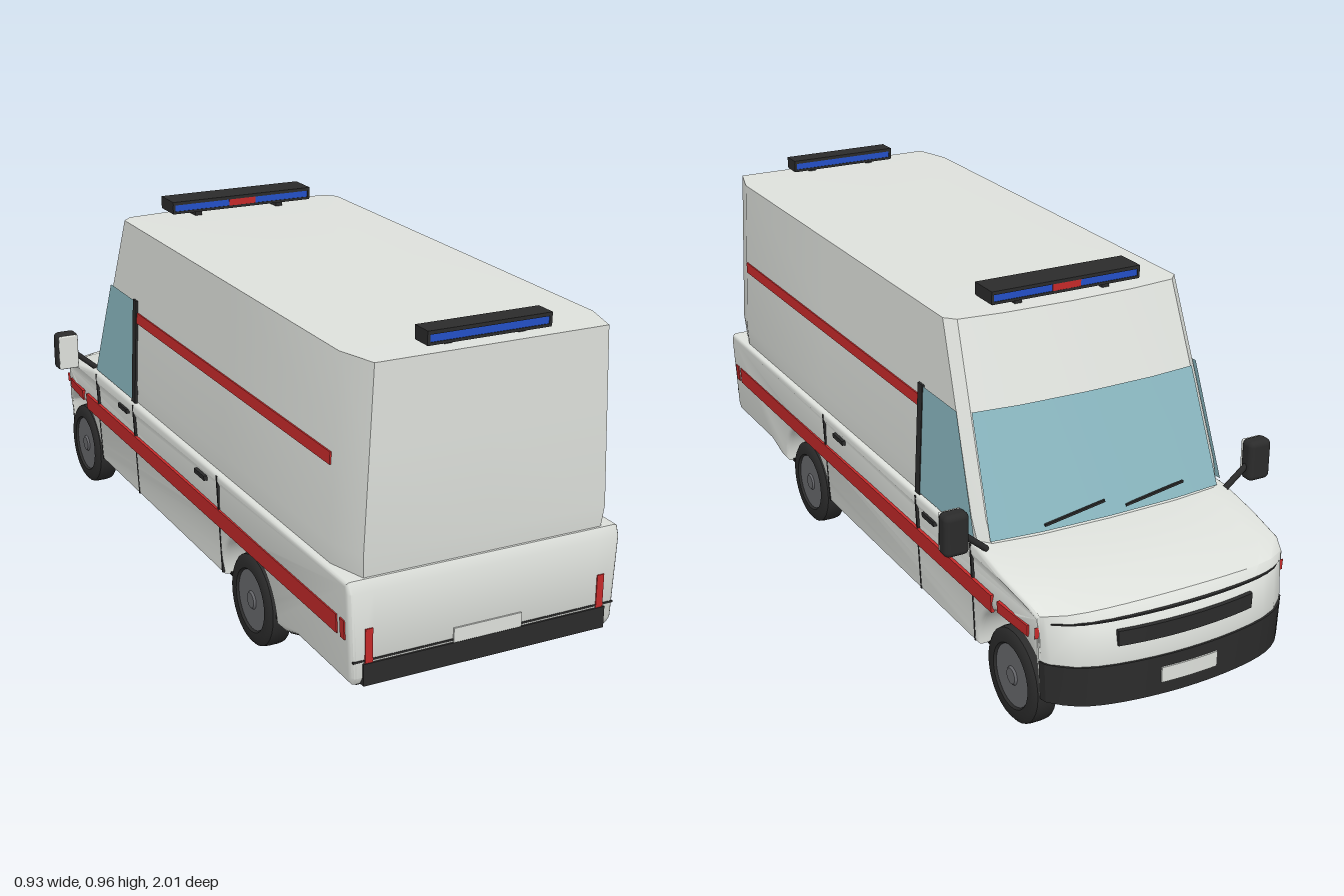
import * as THREE from 'three';
import { toCreasedNormals } from 'three/addons/utils/BufferGeometryUtils.js';
import { RoundedBoxGeometry } from 'three/addons/geometries/RoundedBoxGeometry.js';

const mat = (name, color, side = THREE.FrontSide) => {
  const m = new THREE.MeshStandardMaterial({ color, side });
  m.name = name;
  return m;
};
const clamp01 = (v) => Math.min(1, Math.max(0, v));

// Cabin and box section: half-width and windscreen rake by height
const halfWidth = (y) => 0.353 - (y - 0.4) * 0.045;
const frontZ = (y) => -0.64 + (y - 0.41) * 0.405;
const halfRing = (y, inset = 0) => {
  const w = halfWidth(y) - inset, f = frontZ(y), r = 0.985 - inset;
  return [[0, f], [w * 0.55, f + 0.005], [w - 0.025, f + 0.018], [w, f + 0.045],
    [w, -0.2], [w, 0.3], [w, 0.88], [w - 0.03, r], [0, r]].map(([x, z]) => [x, y, z]);
};
const flip = (pts) => pts.map(([x, y, z]) => [-x, y, z]).reverse();

// Skin between rows of points with equal counts
function loft(rows) {
  const pos = [], idx = [], n = rows[0].length;
  rows.forEach((row) => row.forEach((p) => pos.push(...p)));
  for (let r = 0; r < rows.length - 1; r++) {
    for (let i = 0; i < n - 1; i++) {
      const a = r * n + i, b = a + 1, d = a + n, c = d + 1;
      idx.push(a, d, c, a, c, b);
    }
  }
  const g = new THREE.BufferGeometry();
  g.setAttribute('position', new THREE.Float32BufferAttribute(pos, 3));
  g.setIndex(idx);
  return toCreasedNormals(g, 0.4);
}

// Lower body rule: flanks lean in downwards, nose narrows and bows, bonnet is crowned
function warp(g) {
  const p = g.attributes.position;
  for (let i = 0; i < p.count; i++) {
    let x = p.getX(i), y = p.getY(i), z = p.getZ(i);
    const u = Math.min(1, Math.abs(x) / 0.362);
    const bow = 0.055 * u ** 2 + 0.045 * u ** 8;
    x *= (1 - 0.14 * (0.405 - y)) * (1 - 0.055 * clamp01((-z - 0.76) / 0.24));
    y -= 0.025 * u * u * clamp01((-z - 0.62) / 0.2) * clamp01((y - 0.3) / 0.1);
    z += bow * clamp01((-z - 0.88) / 0.1);
    p.setXYZ(i, x, y, z);
  }
  return g;
}

// Side profile (nose at positive shape x) extruded across the width
function across(shape, width, bevel, steps) {
  const g = new THREE.ExtrudeGeometry(shape, {
    depth: width - 2 * bevel, steps, curveSegments: 20, bevelEnabled: bevel > 0,
    bevelSize: bevel, bevelThickness: bevel, bevelOffset: -bevel, bevelSegments: 3,
  });
  g.translate(0, 0, -width / 2 + bevel);
  g.rotateY(Math.PI / 2);
  return toCreasedNormals(warp(g), 0.6);
}

export function createModel() {
  const white = mat('body white', 0xdee1dc);
  const black = mat('trim black', 0x2b2b2b);
  const under = mat('underside black', 0x171717);
  const red = mat('stripe red', 0xc62a2a);
  const blue = mat('beacon blue', 0x2450c8);
  const glass = mat('glass', 0x8ab7c0, THREE.DoubleSide);
  const grey = mat('hub grey', 0x67686c);

  const van = new THREE.Group();
  van.name = 'ambulance';
  const add = (name, geo, m, parent = van) => {
    const mesh = new THREE.Mesh(geo, m);
    mesh.name = name;
    parent.add(mesh);
    return mesh;
  };
  // Box given by its limits, optionally following the lower body
  const block = (name, m, [x0, x1], [y0, y1], [z0, z1], follow = false, seg = 1) => {
    const g = new THREE.BoxGeometry(x1 - x0, y1 - y0, z1 - z0, seg, 1, 1);
    g.translate((x0 + x1) / 2, (y0 + y1) / 2, (z0 + z1) / 2);
    return add(name, follow ? toCreasedNormals(warp(g), 0.5) : g, m);
  };

  // Lower body with wheel arches
  const s = new THREE.Shape();
  s.moveTo(-0.985, 0.15);
  s.lineTo(-0.72, 0.15);
  s.lineTo(-0.65, 0.128);
  s.lineTo(-0.6, 0.125);
  s.absarc(-0.445, 0.125, 0.155, Math.PI, 0, true);
  s.lineTo(0.605, 0.125);
  s.absarc(0.76, 0.125, 0.155, Math.PI, 0, true);
  [[0.97, 0.12], [0.988, 0.15], [0.996, 0.24], [0.985, 0.315], [0.95, 0.357], [0.85, 0.384],
    [0.74, 0.398], [0.62, 0.406], [-0.985, 0.406], [-0.997, 0.38], [-0.997, 0.17]].forEach(([x, y]) => s.lineTo(x, y));
  s.closePath();
  add('lowerBody', across(s, 0.726, 0.012, 14), white);

  // Floor pan
  const f = new THREE.Shape([[-0.98, 0.145], [-0.72, 0.145], [-0.65, 0.12], [0.965, 0.118],
    [0.965, 0.126], [-0.65, 0.13], [-0.72, 0.155], [-0.98, 0.155]].map((p) => new THREE.Vector2(...p)));
  add('floorPan', across(f, 0.69, 0, 12), under);

  // Upper body with crowned roof
  const rows = [[0.39, 0.008], [0.46, 0], [0.7, 0], [0.905, 0]].map(([y, inset]) => {
    const h = halfRing(y, inset);
    return [...h, ...flip(h).slice(1)];
  });
  rows.push(rows[3].map(() => [0, 0.916, 0.25]));
  add('upperBody', loft(rows), white);

  // Windscreen
  const pane = [0.412, 0.56, 0.7].map((y) => {
    const h = halfRing(y).slice(0, 3);
    return [...flip(h), ...h.slice(1)].map(([x, py, z]) => [x, py, z - 0.006]);
  });
  add('windscreen', loft(pane), glass);

  // Wipers
  for (const x of [-0.13, 0.1]) {
    const w = add('wiper', new THREE.BoxGeometry(0.17, 0.006, 0.006), black);
    w.position.set(x, 0.44, frontZ(0.44) - 0.01);
    w.rotation.z = -0.16;
  }

  for (const side of [1, -1]) {
    const span = (a, b) => (side > 0 ? [a, b] : [-b, -a]);
    const flank = span(0.358, 0.3665);
    const upper = (y, z) => [side * (halfWidth(y) + 0.004), y, z];

    // Cab side window and black pillar behind it
    add('sideWindow', loft([[upper(0.412, -0.6), upper(0.412, -0.31)], [upper(0.7, -0.487), upper(0.7, -0.31)]]), glass);
    const pillar = block('doorPillar', black, [-0.004, 0.004], [-0.148, 0.148], [-0.0125, 0.0125]);
    pillar.position.set(side * (halfWidth(0.555) + 0.002), 0.555, -0.298);
    pillar.rotation.z = side * 0.045;

    // Stripes
    const high = block('upperStripe', red, [-0.004, 0.004], [-0.015, 0.015], [-0.285, 0.87]);
    high.position.set(side * halfWidth(0.655), 0.655, 0);
    high.rotation.z = side * 0.045;
    [[-0.69, 0.935, 0.26, 0.308], [0.952, 0.972, 0.26, 0.308], [-0.85, -0.72, 0.277, 0.308],
      [-0.915, -0.885, 0.285, 0.318]].forEach(([z0, z1, y0, y1]) =>
      block('lowerStripe', red, flank, [y0, y1], [z0, z1], true));

    // Door seams and handles
    for (const z of [-0.59, -0.295, 0.285])
      block('doorSeam', black, span(0.357, 0.364), [0.13, 0.4], [z - 0.003, z + 0.003], true);
    for (const z of [-0.37, 0.18])
      block('doorHandle', black, span(0.358, 0.368), [0.36, 0.373], [z - 0.032, z + 0.032], true);

    // Door mirror
    const mirror = new THREE.Group();
    mirror.name = 'doorMirror';
    van.add(mirror);
    add('mirrorHousing', new RoundedBoxGeometry(0.066, 0.11, 0.045, 3, 0.015), black, mirror)
      .position.set(side * 0.433, 0.47, -0.643);
    add('mirrorFace', new RoundedBoxGeometry(0.058, 0.1, 0.008, 2, 0.004), white, mirror)
      .position.set(side * 0.433, 0.47, -0.62);
    const arm = new THREE.LineCurve3(new THREE.Vector3(side * 0.345, 0.405, -0.64), new THREE.Vector3(side * 0.415, 0.465, -0.643));
    add('mirrorArm', new THREE.TubeGeometry(arm, 1, 0.008, 8), black, mirror);

    // Rear lamps
    block('rearLamp', red, span(0.301, 0.32), [0.205, 0.29], [0.994, 1]);

    // Wheels
    for (const z of [-0.76, 0.445]) {
      const wheel = new THREE.Group();
      wheel.name = 'wheel';
      wheel.position.set(side * 0.313, 0.12, z);
      wheel.rotation.z = -side * Math.PI / 2;
      van.add(wheel);
      const profile = [[0.078, -0.026], [0.083, -0.033], [0.108, -0.033], [0.118, -0.025], [0.12, -0.012],
        [0.12, 0.012], [0.118, 0.025], [0.108, 0.033], [0.083, 0.033], [0.078, 0.026]];
      const tyre = new THREE.LatheGeometry(profile.map((p) => new THREE.Vector2(...p)), 32);
      add('tyre', toCreasedNormals(tyre, 0.7), black, wheel);
      add('hub', new THREE.CylinderGeometry(0.08, 0.08, 0.028, 32), grey, wheel).position.y = 0.013;
      add('hubCap', new THREE.CylinderGeometry(0.02, 0.025, 0.006, 20), grey, wheel).position.y = 0.029;
      add('innerDisc', new THREE.CylinderGeometry(0.08, 0.08, 0.02, 32), glass, wheel).position.y = -0.017;
    }
  }

  // Nose: bumper, grille, number plate and bonnet seam
  block('frontBumper', black, [-0.364, 0.364], [0.122, 0.225], [-1, -0.955], true, 24);
  block('grille', black, [-0.2, 0.2], [0.272, 0.312], [-0.997, -0.96], true, 16);
  block('frontPlate', white, [-0.085, 0.085], [0.155, 0.195], [-1.004, -0.995], true, 8);
  block('bonnetSeam', black, [-0.34, 0.34], [0.331, 0.335], [-0.9775, -0.95], true, 20);

  // Tail: bumper, seam and number plate
  block('rearBumper', black, [-0.325, 0.325], [0.15, 0.205], [0.985, 1.002]);
  block('rearSeam', black, [-0.35, 0.35], [0.209, 0.214], [0.99, 0.9985]);
  block('rearPlate', white, [-0.091, 0.091], [0.205, 0.241], [0.993, 1.001]);

  // Roof light bars
  const lightBar = (name, half, y, z0, z1, centreRed) => {
    block(name + 'Lens', blue, [-half, half], [y, y + 0.024], [z0, z1]);
    block(name + 'Cover', black, [-half - 0.003, half + 0.003], [y + 0.022, y + 0.031], [z0 - 0.003, z1 + 0.003]);
    block(name + 'Base', black, [-half - 0.002, half + 0.002], [y - 0.003, y + 0.004], [z0 - 0.002, z1 + 0.002]);
    for (const e of [-1, 1]) {
      block(name + 'EndCap', black, e > 0 ? [half - 0.004, half + 0.003] : [-half - 0.003, 0.004 - half],
        [y, y + 0.028], [z0 - 0.002, z1 + 0.002]);
      const x = e * half * 0.6;
      block(name + 'Foot', black, [x - 0.01, x + 0.01], [0.9, y], [z0 + 0.02, z1 - 0.02]);
    }
    if (centreRed) block(name + 'CentreLens', red, [-0.04, 0.04], [y + 0.004, y + 0.022], [z0 - 0.0015, z1 + 0.0015]);
  };
  lightBar('frontLightBar', 0.207, 0.925, -0.415, -0.335, true);
  lightBar('rearLightBar', 0.157, 0.918, 0.912, 0.962, false);

  return van;
}
